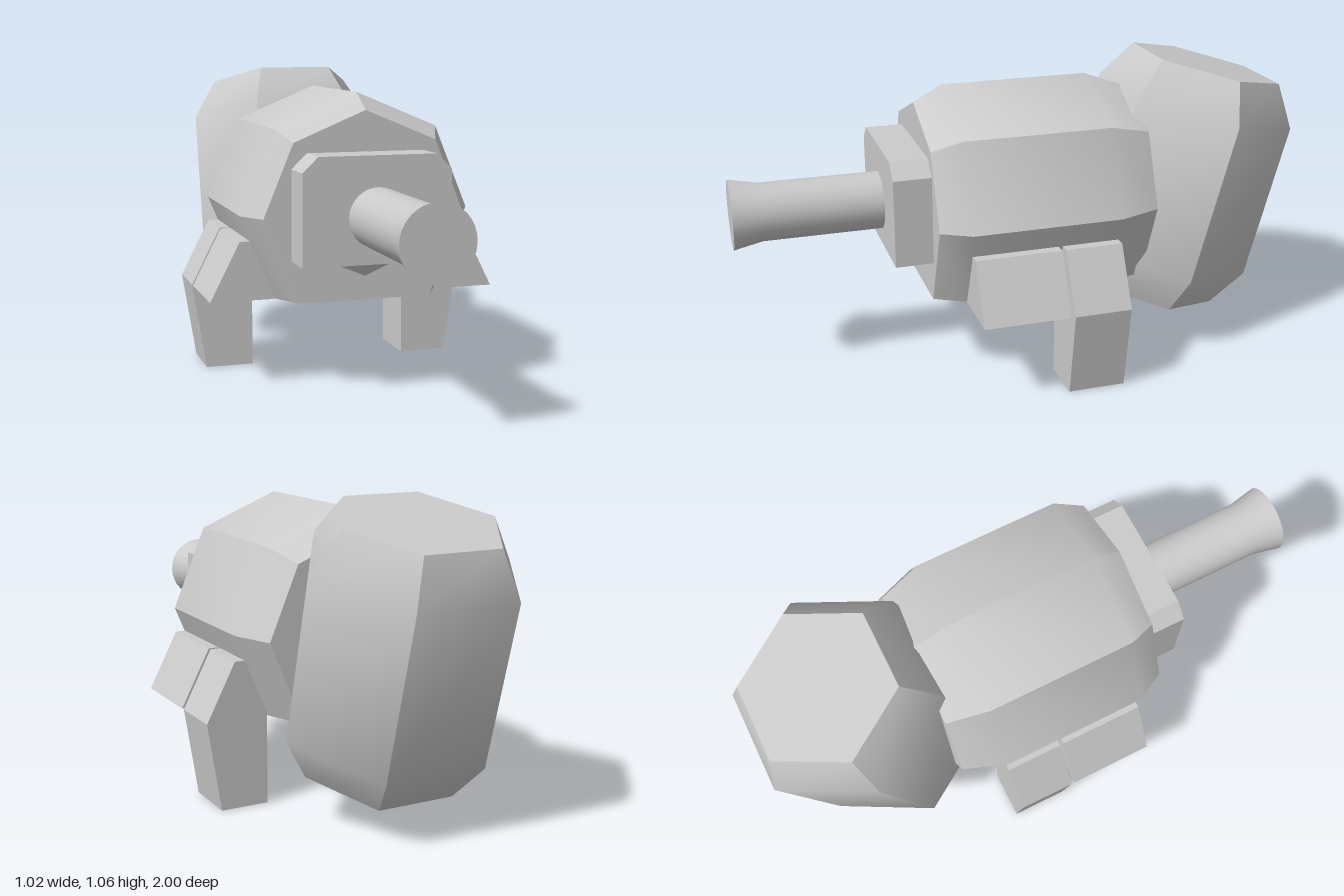
import * as THREE from 'three';
import { toCreasedNormals } from 'three/addons/utils/BufferGeometryUtils.js';

const material = new THREE.MeshStandardMaterial({ color: 0xcccccc });
const CREASE = 0.62;

// Closed loft along +z; each section is { z, points } with points anticlockwise.
function loft(sections) {
  const n = sections[0].points.length;
  const positions = [];
  const index = [];
  sections.forEach(({ z, points }) => points.forEach(([x, y]) => positions.push(x, y, z)));
  for (let s = 0; s < sections.length - 1; s++) {
    for (let i = 0; i < n; i++) {
      const a = s * n + i;
      const b = s * n + (i + 1) % n;
      index.push(a, b, b + n, a, b + n, a + n);
    }
  }
  const last = (sections.length - 1) * n;
  for (let i = 1; i < n - 1; i++) {
    index.push(0, i + 1, i, last, last + i, last + i + 1);
  }
  const geometry = new THREE.BufferGeometry();
  geometry.setAttribute('position', new THREE.Float32BufferAttribute(positions, 3));
  geometry.setIndex(index);
  return toCreasedNormals(geometry, CREASE);
}

function polygon(sides, radius, cy = 0) {
  return Array.from({ length: sides }, (_, i) => {
    const a = (i / sides) * Math.PI * 2;
    return [Math.cos(a) * radius, cy + Math.sin(a) * radius];
  });
}

// Octagon with its lowest corner cut to a flat belly.
function hullSection(radius) {
  const cy = 0.595, belly = 0.309;
  const k = Math.SQRT1_2 * radius;
  const bx = radius - (cy - belly) * Math.tan(Math.PI / 8);
  return [[radius, cy], [k, cy + k], [0, cy + radius], [-k, cy + k], [-radius, cy], [-bx, belly], [bx, belly]];
}

// Flat outline extruded from z0 to z1.
function slab(points, z0, z1) {
  const shape = new THREE.Shape(points.map(([x, y]) => new THREE.Vector2(x, y)));
  const geometry = new THREE.ExtrudeGeometry(shape, { depth: z1 - z0, bevelEnabled: false });
  geometry.translate(0, 0, z0);
  return geometry;
}

export function createModel() {
  const model = new THREE.Group();
  model.name = 'walkingCannon';
  const add = (name, geometry) => {
    const mesh = new THREE.Mesh(geometry, material);
    mesh.name = name;
    model.add(mesh);
    return mesh;
  };

  // Main hull with tapered ends
  add('hull', loft([
    { z: -0.41, points: hullSection(0.35) },
    { z: -0.26, points: hullSection(0.405) },
    { z: 0.26, points: hullSection(0.405) },
    { z: 0.36, points: hullSection(0.35) },
  ]));

  // Tapered collar behind the gun plate
  add('gunCollar', loft([
    { z: 0.34, points: polygon(8, 0.21, 0.6) },
    { z: 0.36, points: polygon(8, 0.21, 0.6) },
    { z: 0.41, points: polygon(8, 0.155, 0.6) },
  ]));

  // Gun plate with clipped upper corners
  add('gunPlate', slab([
    [-0.255, 0.452], [0.255, 0.452], [0.255, 0.757],
    [0.202, 0.808], [-0.202, 0.808], [-0.255, 0.757],
  ], 0.35, 0.49));

  // Barrel with flared muzzle
  const profile = [[0, 0.45], [0.1, 0.45], [0.1, 0.9], [0.12, 1], [0, 1]]
    .map(([r, z]) => new THREE.Vector2(r, z));
  const barrel = new THREE.LatheGeometry(profile, 32);
  barrel.rotateX(Math.PI / 2);
  add('barrel', toCreasedNormals(barrel, CREASE)).position.y = 0.605;

  // Leaning hexagonal pod at the back
  const pod = add('rearPod', loft([
    { z: -0.4325, points: polygon(6, 0.275) },
    { z: -0.2875, points: polygon(6, 0.363) },
    { z: 0.2875, points: polygon(6, 0.363) },
    { z: 0.4325, points: polygon(6, 0.275) },
  ]));
  pod.rotation.x = -THREE.MathUtils.degToRad(105);
  pod.position.set(0, 0.583, -0.62);

  // Side blocks and legs
  for (const [side, s] of [['left', 1], ['right', -1]]) {
    const mirror = (points) => points.map(([x, y]) => [x * s, y]);
    const block = [[0.289, 0.307], [0.508, 0.307], [0.405, 0.508], [0.3, 0.508]];
    const leg = [[0.289, 0], [0.459, 0], [0.508, 0.307], [0.405, 0.508], [0.3, 0.508], [0.289, 0.307]];
    add(side + 'SideBlock', slab(mirror(block), -0.045, 0.255));
    add(side + 'Leg', slab(mirror(leg), -0.26, -0.06));
  }

  return model;
}
